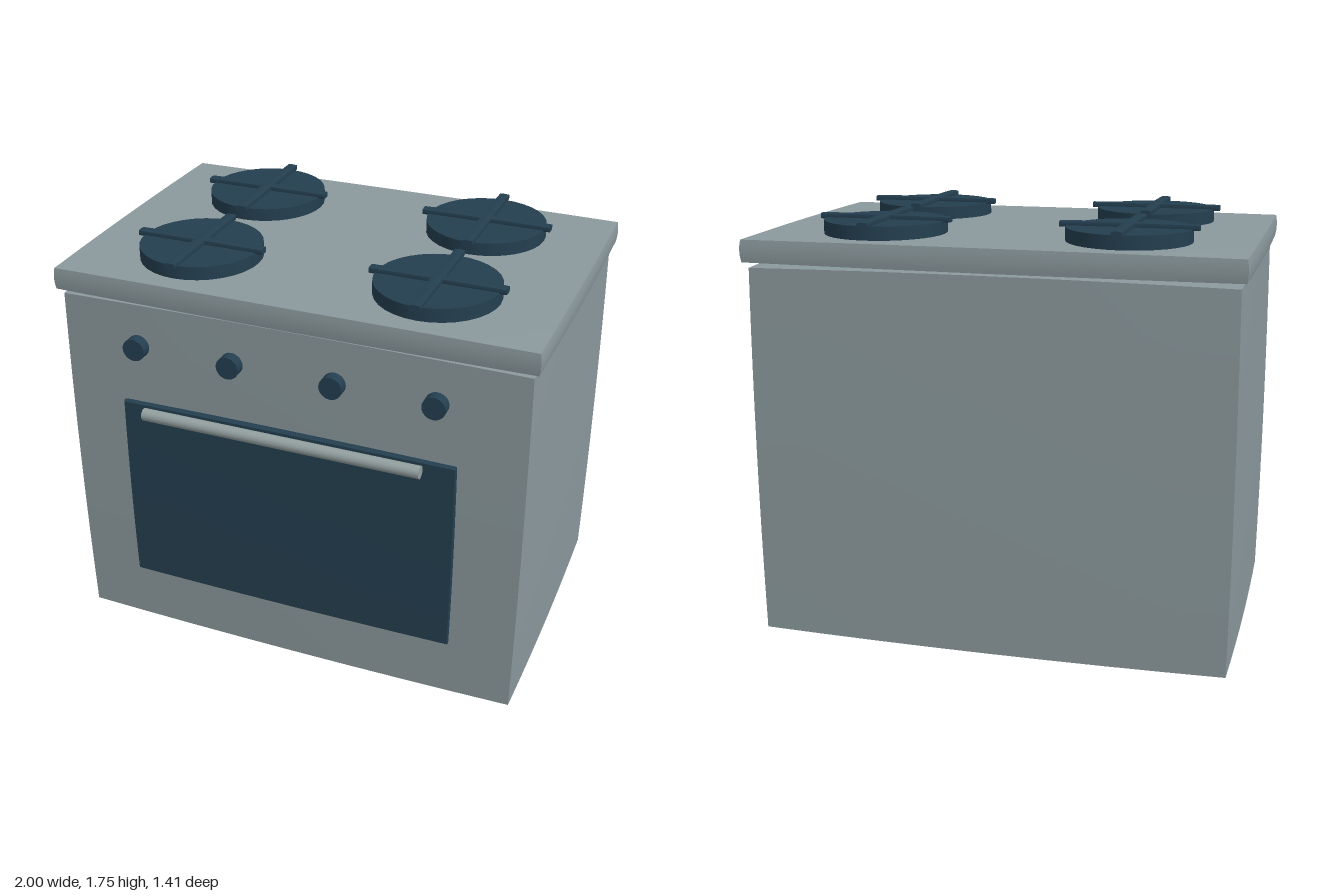
import * as THREE from 'three';

export function createModel() {
  const steel = new THREE.MeshStandardMaterial({ color: 0x8b999d });
  steel.name = 'steelGrey';
  const dark = new THREE.MeshStandardMaterial({ color: 0x243f50 });
  dark.name = 'darkBlue';
  const handleGrey = new THREE.MeshStandardMaterial({ color: 0x939f9f });
  handleGrey.name = 'handleGrey';

  const model = new THREE.Group();
  model.name = 'stove';

  const add = (parent, name, geometry, material, x, y, z) => {
    const mesh = new THREE.Mesh(geometry, material);
    mesh.name = name;
    mesh.position.set(x, y, z);
    parent.add(mesh);
    return mesh;
  };

  // Box whose faces swell outwards by the given amounts, with fixed corners
  const pillowBox = (w, h, d, bx, by, bz, n = 8) => {
    const geo = new THREE.BoxGeometry(w, h, d, n, n, n);
    const p = geo.attributes.position;
    for (let i = 0; i < p.count; i++) {
      const u = (2 * p.getX(i)) / w, v = (2 * p.getY(i)) / h, t = (2 * p.getZ(i)) / d;
      p.setXYZ(i,
        p.getX(i) + u * bx * (1 - (v * v + t * t) / 2),
        p.getY(i) + v * by * (1 - (u * u + t * t) / 2),
        p.getZ(i) + t * bz * (1 - (u * u + v * v) / 2));
    }
    geo.computeVertexNormals();
    return geo;
  };

  // Oven body and worktop
  add(model, 'ovenBody', pillowBox(1.94, 1.54, 1.26, 0.012, 0.018, 0.01), steel, 0, 0.788, -0.05);
  add(model, 'worktop', pillowBox(1.98, 0.09, 1.3, 0.01, 0.006, 0.007), steel, 0, 1.627, -0.05);

  // Door panel and its handle
  add(model, 'ovenDoor', pillowBox(1.414, 0.84, 0.026, 0.005, 0.008, 0.005), dark, 0, 0.717, 0.615);
  const handle = add(model, 'doorHandle', new THREE.CylinderGeometry(0.026, 0.026, 1.175, 24),
    handleGrey, 0, 1.13, 0.68);
  handle.rotation.z = Math.PI / 2;

  // Control knobs
  const knobGeo = new THREE.CylinderGeometry(0.047, 0.047, 0.046, 24);
  for (const x of [-0.63, -0.22, 0.21, 0.62]) {
    add(model, 'controlKnob', knobGeo, dark, x, 1.397, 0.629).rotation.x = Math.PI / 2;
  }

  // Four burners, each with a crossed pan support
  const discGeo = new THREE.CylinderGeometry(0.25, 0.25, 0.065, 32);
  const barGeo = pillowBox(0.55, 0.02, 0.04, 0, 0.004, 0.003);
  for (const x of [-0.5, 0.5]) {
    for (const z of [-0.375, 0.27]) {
      const burner = new THREE.Group();
      burner.name = 'burner';
      burner.position.set(x, 0, z);
      add(burner, 'burnerDisc', discGeo, dark, 0, 1.698, 0);
      add(burner, 'supportBarAcross', barGeo, dark, 0, 1.735, 0);
      add(burner, 'supportBarDeep', barGeo, dark, 0, 1.736, 0).rotation.y = Math.PI / 2;
      model.add(burner);
    }
  }
  return model;
}
